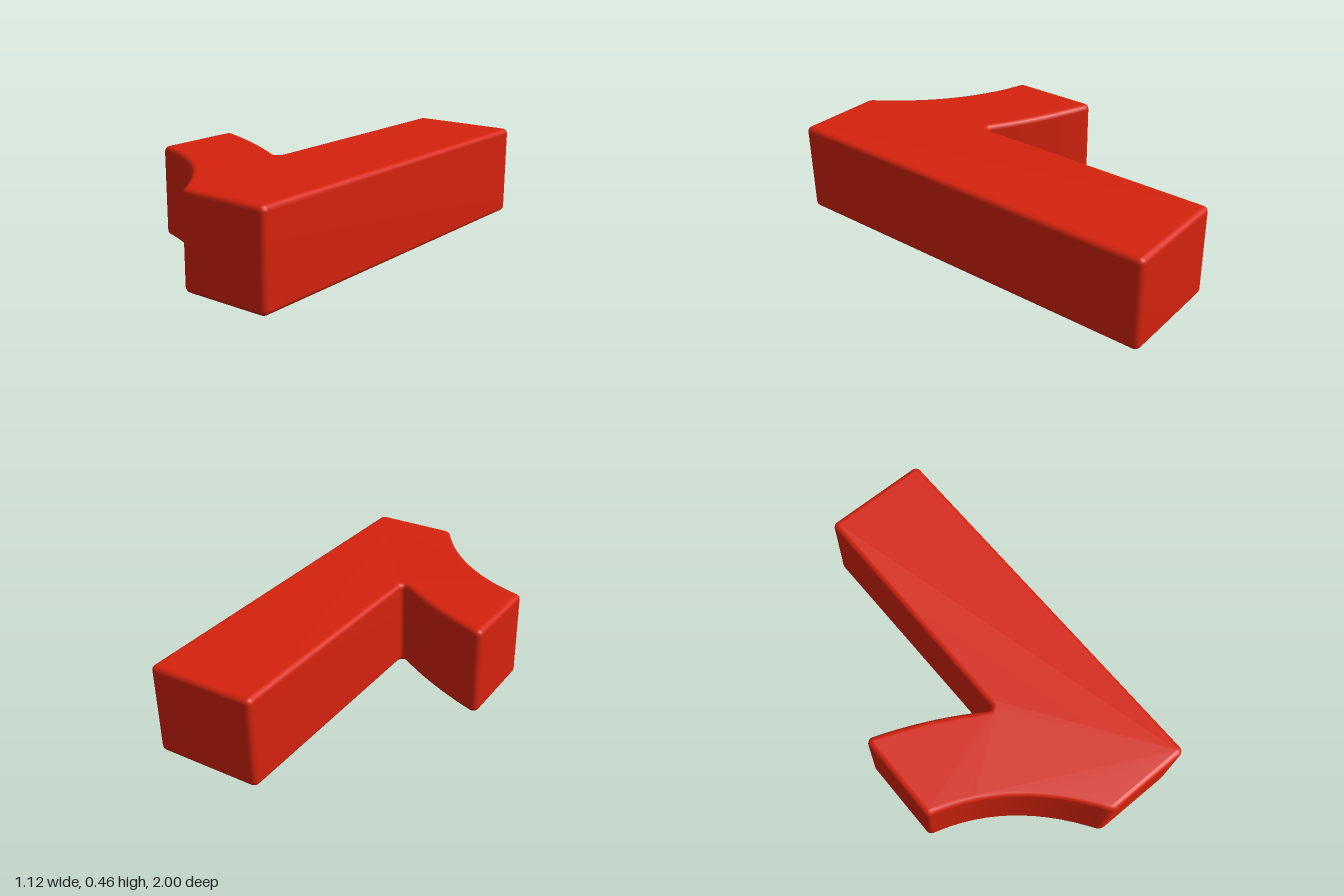
import * as THREE from 'three';
import { mergeVertices } from 'three/addons/utils/BufferGeometryUtils.js';

const HEIGHT = 0.457;
const BEVEL = 0.026;
const v = (x, z) => new THREE.Vector2(x, -z); // plan position, shape y is -z

// Circular fillet of radius r at corner b between neighbours a and c
function fillet(a, b, c, r, steps = 6) {
  const u = a.clone().sub(b).normalize();
  const w = c.clone().sub(b).normalize();
  const half = Math.acos(u.dot(w)) / 2;
  const centre = u.clone().add(w).normalize().multiplyScalar(r / Math.sin(half)).add(b);
  const cut = r / Math.tan(half);
  const start = u.multiplyScalar(cut).add(b).sub(centre);
  const end = w.multiplyScalar(cut).add(b).sub(centre);
  const turn = Math.atan2(start.cross(end), start.dot(end));
  return Array.from({ length: steps + 1 }, (_, i) =>
    start.clone().rotateAround(new THREE.Vector2(), (turn * i) / steps).add(centre));
}

// Plan outline: long bar with a curved branch on one side
function outline() {
  const inner = new THREE.QuadraticBezierCurve(v(0.008, 0.285), v(-0.24, 0.115), v(-0.56, 0.005)).getPoints(8);
  const outer = new THREE.QuadraticBezierCurve(v(-0.56, 0.48), v(-0.15, 0.585), v(0.112, 1)).getPoints(14);
  const pts = [v(0.56, 1), v(0.56, -1), v(0.008, -1), ...inner, ...outer];
  const radii = new Map([[pts[0], 0.03], [pts[1], 0.03], [pts[2], 0.03],
    [inner[0], 0.02], [inner[8], 0.03], [outer[0], 0.03], [outer[14], 0.045]]);
  return pts.flatMap((p, i) => radii.has(p)
    ? fillet(pts[(i + pts.length - 1) % pts.length], p, pts[(i + 1) % pts.length], radii.get(p))
    : [p]);
}

export function createModel() {
  const red = new THREE.MeshStandardMaterial({ color: 0xd6230d });
  red.name = 'red';

  // Solid block with softly rounded edges
  let geometry = new THREE.ExtrudeGeometry(new THREE.Shape(outline()), {
    depth: HEIGHT - 2 * BEVEL,
    bevelEnabled: true,
    bevelThickness: BEVEL,
    bevelSize: BEVEL,
    bevelOffset: -BEVEL,
    bevelSegments: 4,
  });
  geometry.rotateX(-Math.PI / 2);
  geometry.translate(0, BEVEL, 0);

  // Share vertices so the rounded edges shade smoothly
  geometry.deleteAttribute('uv');
  geometry.deleteAttribute('normal');
  geometry.clearGroups();
  geometry = mergeVertices(geometry, 1e-5);
  geometry.computeVertexNormals();

  const block = new THREE.Mesh(geometry, red);
  block.name = 'branchedBlock';
  const group = new THREE.Group();
  group.name = 'branchedBar';
  group.add(block);
  return group;
}
